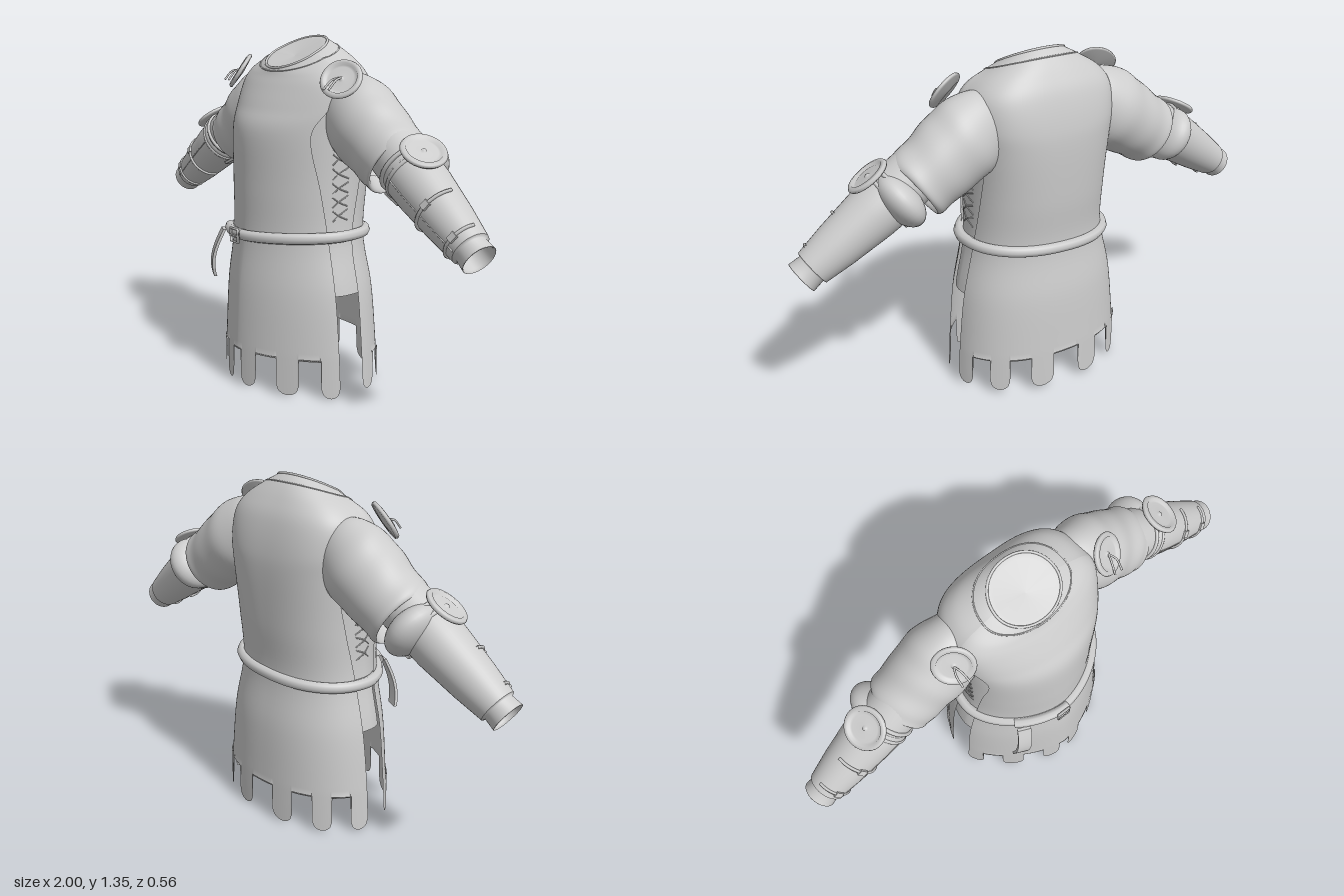
import * as THREE from 'three';

const V = (x, y, z) => new THREE.Vector3(x, y, z);
const UP = V(0, 1, 0);
const mat = new THREE.MeshStandardMaterial({ color: 0xcccccc, side: THREE.DoubleSide });

function add(parent, name, geometry) {
  const m = new THREE.Mesh(geometry, mat);
  m.name = name;
  parent.add(m);
  return m;
}

// Skin a grid of points; closed rows share their first column.
function loft(rows, closed = false) {
  const n = rows[0].length, index = [];
  for (let i = 0; i < rows.length - 1; i++)
    for (let j = 0; j < (closed ? n : n - 1); j++) {
      const k = (j + 1) % n, a = i * n + j, b = i * n + k, c = a + n, d = b + n;
      index.push(a, c, b, b, c, d);
    }
  const g = new THREE.BufferGeometry().setFromPoints(rows.flat());
  g.setIndex(index);
  g.computeVertexNormals();
  return g;
}

const tube = (pts, r, closed = false, seg = 40) =>
  new THREE.TubeGeometry(new THREE.CatmullRomCurve3(pts, closed), seg, r, 8, closed);
const lathe = (pts, seg = 40) => new THREE.LatheGeometry(pts.map(p => new THREE.Vector2(...p)), seg);
const steps = (a, b, n) => Array.from({ length: n + 1 }, (_, i) => a + (b - a) * i / n);

// Body sections: half width, height, backward tilt, front z, back z, front and back outline powers
const BODY = [
  [.37, .05, 0, .276, -.276, 1.28, .9], [.358, .2, 0, .27, -.27, 1.26, .9], [.335, .4, 0, .258, -.258, 1.22, .9],
  [.292, .6, 0, .234, -.23, 1.16, .88], [.284, .8, 0, .23, -.245, 1.1, .82], [.289, 1.0, 0, .22, -.253, 1.04, .72],
  [.295, 1.1, .005, .18, -.246, 1, .66], [.289, 1.19, .018, .138, -.222, 1, .66], [.25, 1.243, .033, .115, -.188, 1, .72],
  [.185, 1.278, .05, .106, -.15, 1, .85], [.132, 1.3, .058, .1, -.115, 1, .95]];

// Smooth interpolation through a table of rows
function sample(table, v) {
  const t = THREE.MathUtils.clamp(v, 0, table.length - 1), i = Math.min(Math.floor(t), table.length - 2), f = t - i;
  const at = k => table[THREE.MathUtils.clamp(k, 0, table.length - 1)];
  return at(i).map((p1, c) => {
    const p0 = at(i - 1)[c], p2 = at(i + 1)[c], p3 = at(i + 2)[c];
    return p1 + .5 * f * (p2 - p0 + f * (2 * p0 - 5 * p1 + 4 * p2 - p3 + f * (3 * (p1 - p2) + p3 - p0)));
  });
}

// Section outline: keeled in front, squarer at the back
function bodyPoint(v, angle, k = 1) {
  const [a, y, tilt, zf, zb, pf, pb] = sample(BODY, v), c = Math.cos(angle), s = Math.sin(angle);
  const power = s > 0 ? pf : pb;
  return V(a * k * Math.sign(c) * Math.abs(c) ** power, y - tilt * s, (s > 0 ? zf : zb) * k * Math.abs(s) ** power);
}

const TAU = Math.PI * 2;
const bodyRing = (v, k) => steps(0, TAU, 64).slice(0, 64).map(t => bodyPoint(v, t, k));

// Tabard panel with a hem of six rounded tabs; the side opening is set per body section
const FRONT_EDGE = [.24, .24, .24, .25, .36, .52, .3, 0, 0, 0, 0].map(e => [e]);
const BACK_EDGE = [.17, .17, .18, .2, .32, .42, .25, 0, 0, 0, 0].map(e => [e]);
function panel(start, edge) {
  const cols = [];
  for (let c = 0; c < 11; c++)
    for (const f of steps(0, 1, 12)) {
      const s = 2 * f - 1;
      const hem = c % 2 ? .16 : .008 + .015 * Math.abs(Math.sin(c * 1.7)) + .04 * (1 - Math.sqrt(1 - s * s));
      cols.push([(c + f) / 11, hem]);
    }
  const row = (v, hemmed) => cols.map(([u, hem]) => {
    const e = Math.max(0, sample(edge, v)[0]);
    const p = bodyPoint(v, start + e + u * (Math.PI - 2 * e), 1.02);
    if (hemmed) p.y = hem;
    return p;
  });
  return loft([...steps(10, .73, 56).map(v => row(v)), row(.1, true)]);
}

// Round plate with a raised rim and a small boss
function plate(parent, name, centre, normal, r) {
  const m = add(parent, name, lathe([[0, .008], [.008, .007], [.012, 0], [r * .6, .004], [r * .72, .001],
    [r * .78, .012], [r * .95, .009], [r, .001], [r * .95, -.006], [0, -.012]]));
  m.position.copy(centre);
  m.quaternion.setFromUnitVectors(UP, normal.normalize());
}

function makeArm(s) {
  const arm = new THREE.Group();
  arm.name = s > 0 ? 'leftArm' : 'rightArm';

  // Short sleeve with soft folds, turned in at its end: x, y, radius, depth factor
  const dir = V(.83 * s, -.55, 0).normalize(), out = V(.55 * s, .83, 0).normalize();
  const SLEEVE = [[.17, 1.15, .09, .8], [.23, 1.122, .13, .8], [.3, 1.074, .155, .87], [.37, 1.026, .153, .93],
    [.44, .978, .143, .95], [.5, .938, .138, .96], [.53, .918, .134, .96], [.528, .92, .12, .96], [.48, .95, .1, .96]];
  const rows = steps(0, 8, 40).map(v => {
    const [x, y, r, depth] = sample(SLEEVE, v);
    return steps(0, TAU, 48).slice(0, 48).map(t => {
      const k = r * (1 + .012 * Math.sin(v * 4 + 2 * Math.sin(t)) * Math.min(1, v / 3));
      return V(x * s, y, -.072).addScaledVector(out, k * Math.cos(t)).add(V(0, 0, depth * k * Math.sin(t)));
    });
  });
  add(arm, 'sleeve', loft(rows, true));

  // Forearm guard, built along its own axis
  const elbow = V(.56 * s, .94, -.062), wrist = V(.963 * s, .668, -.042);
  const length = elbow.distanceTo(wrist);
  const guard = new THREE.Group();
  guard.name = 'forearmGuard';
  guard.position.copy(elbow);
  guard.quaternion.setFromUnitVectors(UP, wrist.clone().sub(elbow).normalize());
  arm.add(guard);
  add(guard, 'innerSleeve', lathe([[.102, -.1], [.103, .02], [.098, .08]]));
  add(guard, 'guardShell', lathe([[.098, .06], [.107, .07], [.103, .16], [.087, .32], [.071, .435]]));
  add(guard, 'wristCuff', lathe([[.071, .435], [.059, .44], [.064, length - .002], [.062, length], [.058, length - .01], [.056, .3]]));
  for (const y of [.04, .08]) {
    const ring = add(guard, 'elbowStrap', new THREE.TorusGeometry(.104, .008, 8, 40).rotateX(Math.PI / 2));
    ring.position.y = y;
  }
  for (const [y, r] of [[.255, .096], [.4, .077]]) {
    const strap = add(guard, 'guardStrap', new THREE.TorusGeometry(r, .006, 6, 24, Math.PI).rotateX(Math.PI / 2));
    strap.position.y = y;
    const buckle = add(guard, 'guardBuckle', new THREE.BoxGeometry(.03, .024, .012));
    buckle.position.set(-.45 * s * r, y, .9 * r);
    buckle.rotation.y = -.45 * s;
  }
  add(guard, 'guardSeam', tube([V(0, .08, .107), V(0, .2, .098), V(0, .43, .072)], .003, false, 12));
  const flap = add(guard, 'elbowFlap', new THREE.BoxGeometry(.012, .08, .08));
  flap.position.set(.118 * s, .065, 0);
  flap.rotation.z = .2 * s;

  // Padding behind the elbow
  const pad = add(arm, 'elbowPad', new THREE.SphereGeometry(1, 32, 20));
  pad.position.set(.605 * s, .9, -.115);
  pad.quaternion.setFromUnitVectors(UP, dir);
  pad.scale.set(.112, .065, .108);

  // Shoulder and elbow plates, with knotted cords at the shoulder
  plate(arm, 'elbowPlate', V(.69 * s, .988, -.043), V(.52 * s, .8, .2), .084);
  plate(arm, 'shoulderPlate', V(.337 * s, 1.213, .036), V(.45 * s, .55, .7), .08);
  for (const d of [-.01, .012])
    add(arm, 'plateCord', tube([V(.34 * s, 1.218, .042), V((.34 + d) * s, 1.212, .07),
      V((.336 + d * 1.4) * s, 1.178, .105)], .004, false, 12));
  return arm;
}

export function createModel() {
  const model = new THREE.Group();
  model.name = 'armouredTunic';

  // Undershirt with a dished neck, and side gussets below the belt
  const shirt = steps(2.9, 10, 44).map(v => bodyRing(v, .99));
  for (const k of [.85, .6, .3, .001])
    shirt.push(bodyRing(10, .99).map(p => V(p.x * k, 1.285 + (p.y - 1.285) * k, p.z * k)));
  add(model, 'undershirt', loft(shirt, true));
  for (const mid of [0, Math.PI])
    add(model, 'sideGusset', loft(steps(2, 3.1, 8).map(v => steps(mid - .26, mid + .26, 10).map(t => bodyPoint(v, t, .985)))));

  // Front and back panels, collar and neckline seam
  add(model, 'frontPanel', panel(0, FRONT_EDGE));
  add(model, 'backPanel', panel(Math.PI, BACK_EDGE));
  add(model, 'collar', tube(bodyRing(10, 1.01), .005, true, 80));
  add(model, 'necklineSeam', tube(bodyRing(9.1, 1.018), .003, true, 80));

  // Side lacing on the undershirt
  for (const mid of [0, Math.PI])
    for (const v of steps(3.4, 4.7, 5))
      for (const d of [-.14, .14])
        add(model, 'sideLace', tube([bodyPoint(v, mid - d, .992), bodyPoint(v + .1, mid, .995),
          bodyPoint(v + .2, mid + d, .992)], .0025, false, 6));

  // Tilted belt, overlapping end, buckle and hanging tail
  const beltPoint = (t, k = 1.035) => {
    const p = bodyPoint(3, t, k);
    return p.setY(.605 + .06 * p.x);
  };
  add(model, 'belt', tube(steps(0, TAU, 48).slice(0, 48).map(t => beltPoint(t)), .022, true, 96));
  add(model, 'beltOverlap', tube(steps(1.5, 2.3, 8).map(t => beltPoint(t, 1.09).add(V(0, .008, 0))), .02, false, 24));
  const buckle = add(model, 'beltBuckle', new THREE.TorusGeometry(.036, .006, 8, 4).rotateZ(Math.PI / 4));
  buckle.position.set(-.02, .605, .272);
  const prong = add(model, 'bucklePin', new THREE.BoxGeometry(.05, .007, .007));
  prong.position.set(-.02, .605, .275);

  const tail = new THREE.BoxGeometry(.056, .2, .012, 1, 10, 1), p = tail.attributes.position;
  for (let i = 0; i < p.count; i++) {
    const f = .5 - p.getY(i) / .2;
    p.setX(i, p.getX(i) - .03 * f * f);
    p.setZ(i, p.getZ(i) + .045 * Math.sin(f * 2.2));
  }
  tail.computeVertexNormals();
  const strap = add(model, 'beltTail', tail);
  strap.position.set(-.182, .497, .222);
  strap.rotation.y = -.42;

  model.add(makeArm(1), makeArm(-1));
  return model;
}
